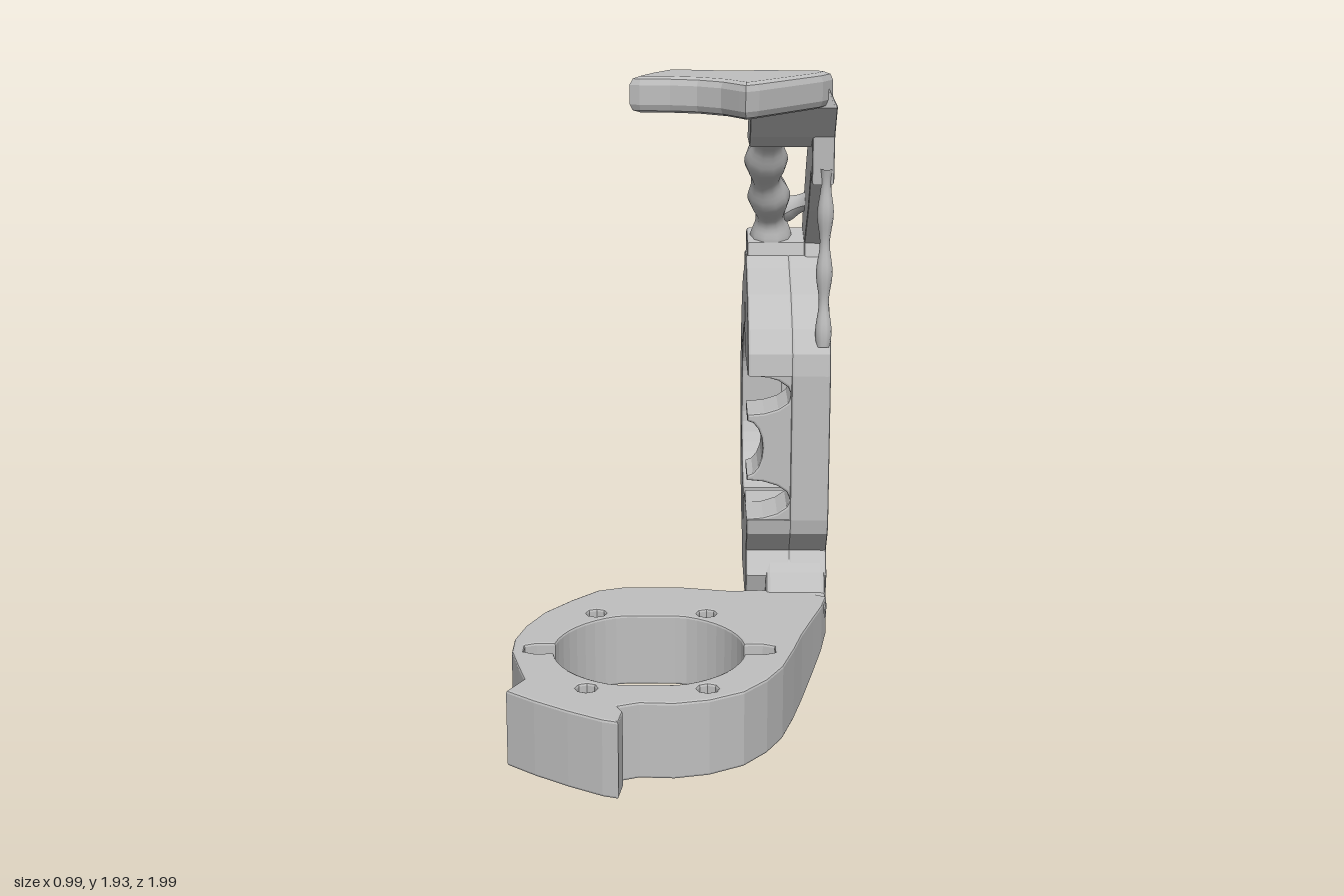
import * as THREE from 'three';

const HOLE_OFFSETS = [[0.3, 0.175], [-0.3, 0.175], [0.3, -0.175], [-0.3, -0.175]];

// Main bore: a circle flattened on both sides, with a keyhole notch top and bottom.
// Angles are in steps of 7.5 degrees.
function borePoints(cx, cy, from, to) {
  const pts = [];
  const dir = Math.sign(to - from);
  for (let i = from; i !== to; i += dir) {
    const a = i * Math.PI / 24;
    const s = Math.sin(a);
    if (Math.abs(s) > 0.999) {
      const k = s * dir * 0.04;
      pts.push([cx + k, cy + s * 0.345], [cx + k * 0.6, cy + s * 0.38],
        [cx - k * 0.6, cy + s * 0.38], [cx - k, cy + s * 0.345]);
    } else {
      const x = THREE.MathUtils.clamp(0.29 * Math.cos(a), -0.275, 0.275);
      pts.push([cx + x, cy + 0.29 * s]);
    }
  }
  return pts;
}

const toVectors = pts => pts.map(p => new THREE.Vector2(p[0], p[1]));

function plate(outline, holes, depth, bevel = 0.008) {
  const shape = new THREE.Shape(toVectors(outline));
  holes.forEach(h => shape.holes.push(new THREE.Path(toVectors(h))));
  const g = new THREE.ExtrudeGeometry(shape, {
    depth: depth - 2 * bevel, bevelThickness: bevel, bevelSize: bevel,
    bevelOffset: -bevel, bevelSegments: 2
  });
  return g.translate(0, 0, bevel);
}

function screwHole(cx, cy) {
  return Array.from({ length: 8 }, (_, i) => {
    const a = i * Math.PI / 4;
    return [cx + 0.032 * Math.cos(a), cy + 0.032 * Math.sin(a)];
  });
}

// Profiles drawn as (-z, y), extruded along x.
function upright(outline, holes, x0, x1, bevel) {
  return plate(outline, holes, x1 - x0, bevel).rotateY(Math.PI / 2).translate(x0, 0, 0);
}

// Profiles drawn as (x, -z), extruded along y.
function flat(outline, holes, y0, y1, bevel) {
  return plate(outline, holes, y1 - y0, bevel).rotateX(-Math.PI / 2).translate(0, y0, 0);
}

// Applies a rule to every vertex
function reshape(geometry, rule) {
  const pos = geometry.attributes.position, v = new THREE.Vector3();
  for (let i = 0; i < pos.count; i++) {
    rule(v.fromBufferAttribute(pos, i), i);
    pos.setXYZ(i, v.x, v.y, v.z);
  }
  geometry.computeVertexNormals();
  return geometry;
}

// Slopes the outer side inwards near the top and bottom bends
const easeCorner = geometry => reshape(geometry, v => {
  const over = Math.max(v.y - 1.84, 0.12 - v.y, 0);
  v.x = Math.min(v.x, 0.49 - over * 0.6);
});

// Rod with an uneven, organic thickness
function lumpyRod(points, radius, lump, waves) {
  const curve = new THREE.CatmullRomCurve3(points.map(p => new THREE.Vector3(...p)));
  const segs = 30, sides = 10;
  return reshape(new THREE.TubeGeometry(curve, segs, radius, sides), (v, n) => {
    const t = Math.floor(n / (sides + 1)) / segs;
    const c = curve.getPointAt(t);
    v.sub(c).multiplyScalar(1 + lump * Math.sin(t * waves * Math.PI * 2)).add(c);
  });
}

export function createModel() {
  const group = new THREE.Group();
  const grey = new THREE.MeshStandardMaterial({ color: 0xbfbfbf });
  grey.name = 'matte grey';
  const add = (name, geometry) => {
    const mesh = new THREE.Mesh(geometry, grey);
    mesh.name = name;
    group.add(mesh);
  };
  const clamp = THREE.MathUtils.clamp;

  // Flat ring at the base; its bore is the upright bore turned a quarter
  const bx = -0.08, bz = -0.455;
  const baseOutline = [
    [-0.18, 0.08], [-0.26, 0.05], [-0.34, -0.04], [-0.42, -0.15], [-0.47, -0.27], [-0.495, -0.38],
    [-0.495, -0.48], [-0.465, -0.6], [-0.44, -0.69], [-0.485, -0.78], [-0.4, -0.85], [-0.3, -0.92],
    [-0.2, -0.98], [-0.155, -0.995], [-0.145, -0.92], [-0.16, -0.885], [-0.1, -0.86], [0, -0.865],
    [0.1, -0.84], [0.2, -0.78], [0.27, -0.69], [0.32, -0.59], [0.36, -0.45], [0.39, -0.33],
    [0.43, -0.2], [0.465, -0.09], [0.485, 0], [0.4, 0.05], [0.27, 0.06], [0.18, 0.05], [0, 0.085]
  ];
  const baseBore = borePoints(0, 0, 0, 48).map(([x, y]) => [bx - y, bz + x]);
  const baseScrews = HOLE_OFFSETS.map(([a, b]) => screwHole(bx + b, bz + a));
  // Lift the underside towards the bend
  add('baseRing', reshape(flat(baseOutline, [baseBore, ...baseScrews], 0, 0.235), v => {
    if (v.y < 0.1) v.y += 0.1 * clamp((v.x - 0.22) / 0.24, 0, 1) * clamp((0.35 - v.z) / 0.35, 0, 1);
  }));

  // Bend from the base into the upright ring
  add('lowerBend', easeCorner(upright([[-0.05, 0.05], [0.0, 0.06], [0.08, 0.105], [0.18, 0.155],
    [0.6, 0.165], [0.59, 0.24], [0.5, 0.34], [0.14, 0.36], [0.07, 0.29], [0.03, 0.235], [-0.05, 0.225]],
    [], 0.29, 0.485, 0.015)));

  // Upright ring: full outer layer, inner layer open at the front
  const cu = 0.51, cv = 0.72;
  const ringOutline = [
    [0.04, 0.48], [0.05, 0.43], [0.12, 0.35], [0.07, 0.28], [0.1, 0.19], [0.2, 0.165], [0.4, 0.165],
    [0.59, 0.165], [0.59, 0.225], [0.63, 0.25], [0.73, 0.29], [0.84, 0.37], [0.92, 0.47], [0.97, 0.58],
    [0.995, 0.72], [0.98, 0.84], [0.93, 0.97], [0.84, 1.08], [0.74, 1.16], [0.66, 1.19], [0.6, 1.21],
    [0.58, 1.27], [0.42, 1.28], [0.36, 1.25], [0.22, 1.19], [0.1, 1.1], [0.05, 1.03], [0.04, 0.96]
  ];
  const ringScrews = HOLE_OFFSETS.map(([a, b]) => screwHole(cu + a, cv + b));
  add('uprightRing', upright(ringOutline, [borePoints(cu, cv, 0, 48), ...ringScrews], 0.365, 0.49));
  const openRing = [...ringOutline, [0.2, 0.96], ...borePoints(cu, cv, 17, -18), [0.2, 0.48]];
  const backScrews = ringScrews.filter((_, i) => HOLE_OFFSETS[i][0] > 0);
  add('uprightRingInner', upright(openRing, backScrews, 0.225, 0.37));

  // Front wall of the ring, with rounded notches cut into its inner edge
  const notch = (cy, depth, half) => Array.from({ length: 9 }, (_, i) => {
    const a = Math.PI * (0.5 - i / 8);
    return [0.225 + depth * Math.cos(a), cy + half * Math.sin(a)];
  });
  const wallOutline = [[0.225, 0.47], [0.38, 0.47], [0.38, 0.97], [0.225, 0.97],
    ...notch(0.897, 0.14, 0.065), ...notch(0.72, 0.05, 0.09), ...notch(0.547, 0.14, 0.065)];
  add('frontWall', plate(wallOutline, [], 0.185).translate(0, 0, -0.232));

  // Sloping neck: side web plus full-width ends
  add('neckWeb', easeCorner(upright([[0.4, 1.24], [0.6, 1.22], [0.6, 1.33], [0.55, 1.42], [0.4, 1.6],
    [0.2, 1.81], [0.12, 1.87], [0.05, 1.92], [-0.03, 1.92], [-0.03, 1.82], [0.06, 1.72], [0.07, 1.57],
    [0.13, 1.6], [0.25, 1.46], [0.43, 1.32]], [], 0.42, 0.49)));
  add('neckFoot', upright([[0.4, 1.2], [0.6, 1.19], [0.6, 1.32], [0.56, 1.35], [0.44, 1.32]], [], 0.23, 0.48));
  add('neckHead', easeCorner(upright([[-0.03, 1.82], [0.06, 1.72], [0.13, 1.68], [0.3, 1.68], [0.32, 1.7],
    [0.2, 1.81], [0.12, 1.87], [0.05, 1.92], [-0.03, 1.92]], [], 0.225, 0.485)));
  add('neckRod', lumpyRod([[0.31, 1.28, -0.52], [0.31, 1.38, -0.49], [0.3, 1.48, -0.42],
    [0.285, 1.58, -0.33], [0.29, 1.72, -0.2]], 0.06, 0.18, 3));
  add('neckKnob', lumpyRod([[0.27, 1.3, -0.53], [0.31, 1.38, -0.51], [0.37, 1.43, -0.49],
    [0.44, 1.46, -0.46]], 0.035, 0.15, 2));

  // Thin strut at the front of the neck
  add('strut', lumpyRod([[0.465, 1.05, -0.075], [0.465, 1.2, -0.085], [0.465, 1.4, -0.085],
    [0.465, 1.62, -0.075]], 0.021, 0.25, 3));

  // Top tab with a scooped front edge
  add('topTab', flat([[-0.14, -0.16], [-0.11, -0.175], [-0.02, -0.18], [0.06, -0.205], [0.13, -0.26],
    [0.18, -0.34], [0.2, -0.37], [0.24, -0.33], [0.34, -0.2], [0.44, -0.07], [0.475, 0],
    [0.44, 0.06], [0.24, 0.06], [0.15, 0.05], [0, 0.085], [-0.04, 0.07], [-0.09, -0.03]], [], 1.82, 1.928, 0.025));
  return group;
}
